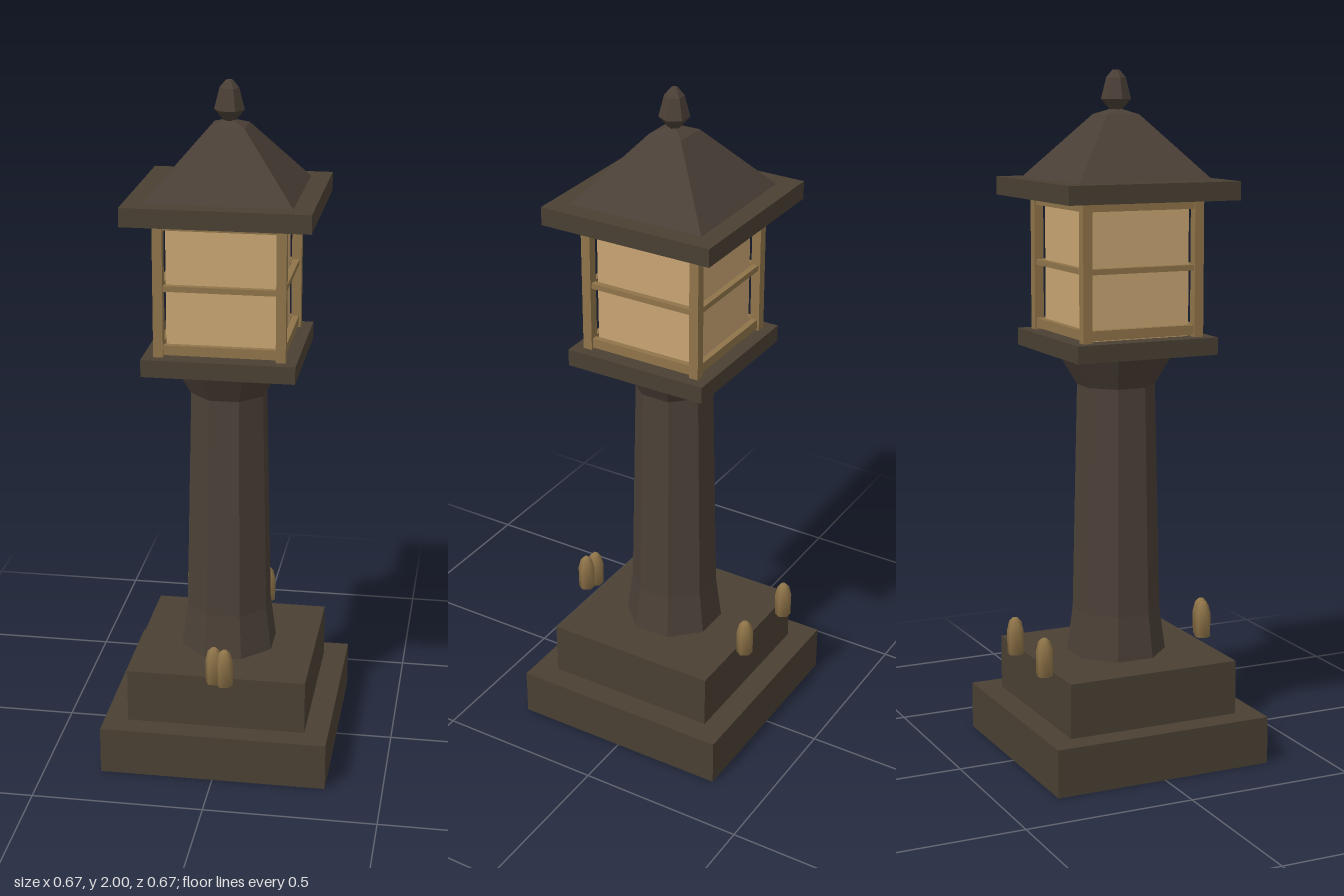
import * as THREE from 'three';

const paint = (name, color) => {
  const m = new THREE.MeshStandardMaterial({ color });
  m.name = name;
  return m;
};

export function createModel() {
  const stone = paint('dark stone', 0x4a4033);
  const timber = paint('dark timber', 0x4b4037);
  const brass = paint('brass', 0x8f7449);
  const glow = paint('warm pane', 0xc9a573);

  const model = new THREE.Group();
  model.name = 'lantern';

  const add = (name, geometry, material, parent = model) => {
    const mesh = new THREE.Mesh(geometry, material);
    mesh.name = name;
    parent.add(mesh);
    return mesh;
  };

  // Square slab of given half width between two heights
  const slab = (name, half, y0, y1, material) => {
    add(name, new THREE.BoxGeometry(half * 2, y1 - y0, half * 2), material).position.y = (y0 + y1) / 2;
  };

  // Faceted turned shape; the profile runs upwards as [radius, height]
  const turned = (profile, sides, start, flat = true) => {
    const points = profile.map(([r, y]) => new THREE.Vector2(r, y));
    const lathe = new THREE.LatheGeometry(points, sides, start);
    if (!flat) return lathe;
    const geometry = lathe.toNonIndexed();
    geometry.computeVertexNormals();
    return geometry;
  };
  // Same, with the profile measured to the middle of each flat side
  const prism = (profile, sides) =>
    turned(profile.map(([a, y]) => [a / Math.cos(Math.PI / sides), y]), sides, Math.PI / sides);

  // Stepped base
  slab('lowerStep', 0.333, 0, 0.14, stone);
  slab('upperStep', 0.263, 0.14, 0.3, stone);

  // Eight-sided post with flared foot and capital
  add('post', prism([[0, 0.3], [0.135, 0.3], [0.119, 0.43], [0.105, 1.1], [0.16, 1.2], [0, 1.2]], 8), timber);
  slab('platform', 0.218, 1.2, 1.25, stone);

  // Lamp box: glowing core behind corner bars and rails
  slab('panes', 0.155, 1.25, 1.64, glow);
  const frame = new THREE.Group();
  frame.name = 'lampFrame';
  model.add(frame);
  for (const x of [-1, 1]) for (const z of [-1, 1]) {
    add('cornerBar', new THREE.BoxGeometry(0.028, 0.39, 0.028), brass, frame)
      .position.set(x * 0.173, 1.445, z * 0.173);
  }
  const rails = [[1.27, 0.028], [1.448, 0.016], [1.627, 0.026]];
  for (let i = 0; i < 4; i++) {
    const side = new THREE.Group();
    side.name = 'frameSide';
    side.rotation.y = i * Math.PI / 2;
    frame.add(side);
    for (const [y, height] of rails) {
      add('rail', new THREE.BoxGeometry(0.32, height, 0.018), brass, side).position.set(0, y, 0.172);
    }
  }

  // Eaves, hipped roof and finial
  slab('eaves', 0.263, 1.64, 1.693, stone);
  add('roof', prism([[0.206, 1.693], [0.05, 1.875], [0, 1.895]], 4), timber);
  add('finial', turned(
    [[0, 1.88], [0.014, 1.885], [0.043, 1.918], [0.028, 1.978], [0.01, 2], [0, 2]], 6, Math.PI / 2), timber);

  // Small six-sided pegs around the step
  const peg = turned(
    [[0, 0.3], [0.024, 0.3], [0.025, 0.37], [0.018, 0.4], [0.008, 0.41], [0, 0.41]], 6, Math.PI / 2, false);
  for (const [x, z] of [[-0.155, -0.297], [0.077, -0.292], [0, 0.29], [0.033, 0.302]]) {
    add('peg', peg, brass).position.set(x, 0, z);
  }

  return model;
}
